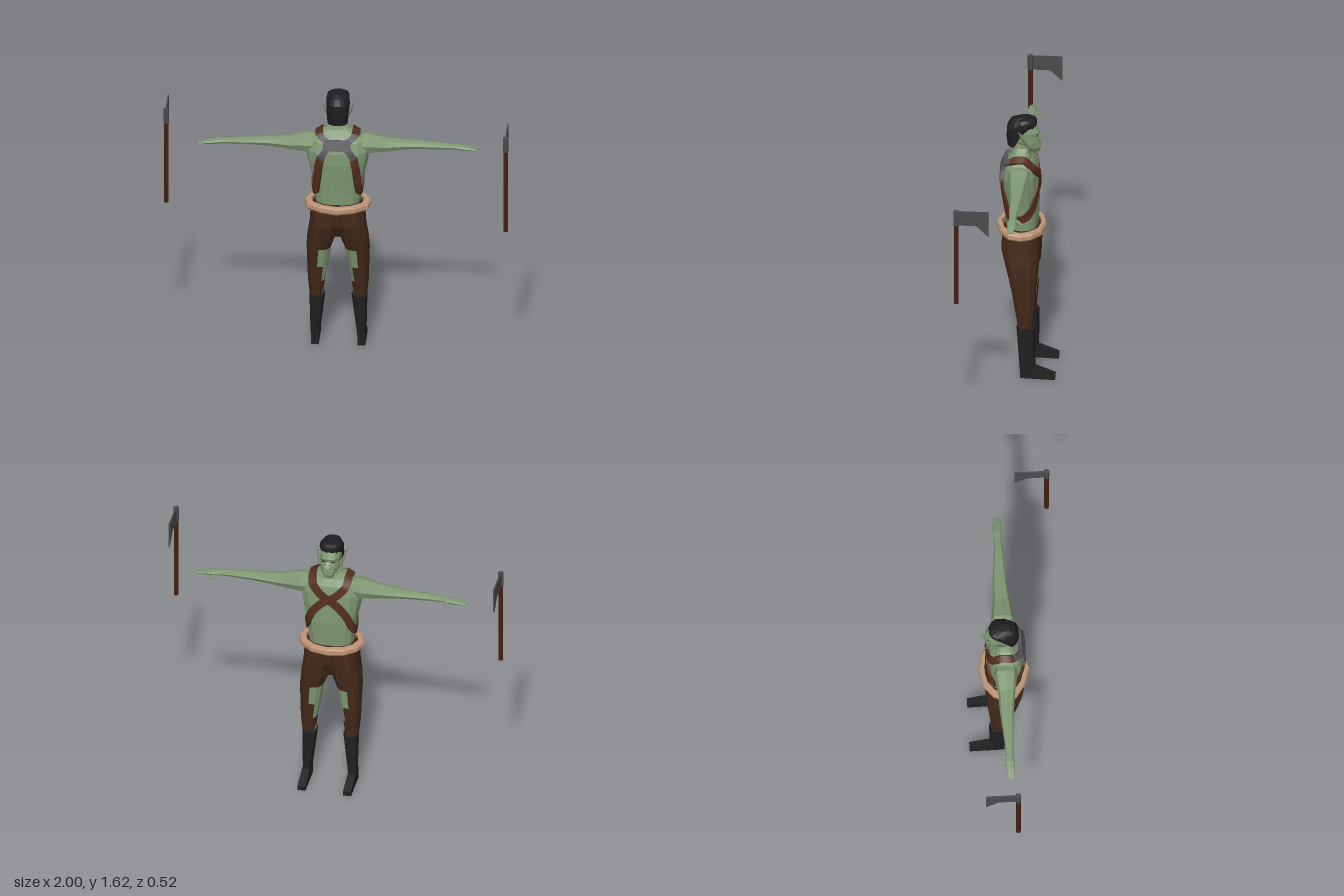
import * as THREE from 'three';

const V = (x, y, z) => new THREE.Vector3(x, y, z);
const mat = (color) => new THREE.MeshStandardMaterial({ color, flatShading: true });
const M = {
  skin: mat(0x7f9873), pants: mat(0x43281a), strap: mat(0x552e1d), boot: mat(0x202022), hair: mat(0x1e1e21),
  belt: mat(0xbd9575), plate: mat(0x57535a), metal: mat(0x4b4b4d), wood: mat(0x42210f),
};

function add(parent, name, geometry, material) {
  const m = new THREE.Mesh(geometry, material);
  m.name = name;
  parent.add(m);
  return m;
}

// Skin a list of equal-length rings; keep(row, column) can select patches
function loft(rings, { caps = true, closed = false, keep = () => true } = {}) {
  const out = [], n = rings[0].length;
  const tri = (...p) => p.forEach((v) => out.push(v.x, v.y, v.z));
  const rows = closed ? rings.length : rings.length - 1;
  for (let i = 0; i < rows; i++) for (let j = 0; j < n; j++) {
    if (!keep(i, j)) continue;
    const a = rings[i], b = rings[(i + 1) % rings.length], k = (j + 1) % n;
    tri(a[j], b[j], a[k]);
    tri(a[k], b[j], b[k]);
  }
  if (caps && !closed) [rings[0], rings[rings.length - 1]].forEach((r, end) => {
    const c = r.reduce((s, p) => s.add(p), V(0, 0, 0)).divideScalar(n);
    for (let j = 0; j < n; j++) {
      const k = (j + 1) % n;
      end ? tri(c, r[k], r[j]) : tri(c, r[j], r[k]);
    }
  });
  const g = new THREE.BufferGeometry();
  g.setAttribute('position', new THREE.Float32BufferAttribute(out, 3));
  g.computeVertexNormals();
  return g;
}

// Point on a soft-square section [y, centre x, centre z, radius x, radius z]
const soft = (t) => Math.sign(t) * Math.abs(t) ** 0.8;
const onSection = ([y, cx, cz, rx, rz], a) => V(cx + rx * soft(Math.cos(a)), y, cz + rz * soft(Math.sin(a)));
const ring = (s, n) => Array.from({ length: n }, (_, j) => onSection(s, (j / n) * Math.PI * 2));
const body = (sections, n, options) => loft(sections.map((s) => ring(s, n)), options);

// Tapered rod between two points
function rod(parent, name, a, b, r1, r2, sides, material) {
  const m = add(parent, name, new THREE.CylinderGeometry(r2, r1, a.distanceTo(b), sides), material);
  m.position.copy(a).add(b).multiplyScalar(0.5);
  m.quaternion.setFromUnitVectors(V(0, 1, 0), b.clone().sub(a).normalize());
  return m;
}

// Side profile [forward, up] extruded across x, centred on x = 0; forward is -z
function sidePlate(points, width) {
  const shape = new THREE.Shape(points.map(([x, y]) => new THREE.Vector2(x, y)));
  return new THREE.ExtrudeGeometry(shape, { depth: width, bevelEnabled: false })
    .translate(0, 0, -width / 2).rotateY(Math.PI / 2);
}

const TORSO = [
  [0.92, 0, -0.055, 0.13, 0.093], [1.0, 0, -0.055, 0.135, 0.097], [1.1, 0, -0.052, 0.15, 0.103],
  [1.2, 0, -0.045, 0.172, 0.106], [1.27, 0, -0.043, 0.183, 0.102], [1.33, 0, -0.045, 0.165, 0.088],
  [1.37, 0, -0.045, 0.125, 0.062], [1.4, 0, -0.05, 0.075, 0.05], [1.43, 0, -0.055, 0.05, 0.048],
  [1.48, 0, -0.06, 0.045, 0.045],
];

function torsoPoint(a, y) {
  let i = 0;
  while (i < TORSO.length - 2 && TORSO[i + 1][0] < y) i++;
  const t = (y - TORSO[i][0]) / (TORSO[i + 1][0] - TORSO[i][0]);
  return onSection(TORSO[i], a).lerp(onSection(TORSO[i + 1], a), t);
}

// Strap that hugs the torso through [degrees, height] points
function strap(path, width, lift) {
  const curve = new THREE.CatmullRomCurve3(path.map(([d, y]) => V(THREE.MathUtils.degToRad(d), y, 0)));
  const at = (t) => { const q = curve.getPoint(t); return torsoPoint(q.x, q.y); };
  const steps = path.length * 5, rings = [];
  for (let i = 0; i <= steps; i++) {
    const t = i / steps, q = curve.getPoint(t), p = at(t), e = 0.02;
    const dir = at(Math.min(1, t + e)).sub(at(Math.max(0, t - e))).normalize();
    const up = torsoPoint(q.x, q.y + e).sub(torsoPoint(q.x, q.y - e));
    const around = torsoPoint(q.x + 0.1, q.y).sub(torsoPoint(q.x - 0.1, q.y));
    const n = up.cross(around).normalize();
    const s = n.clone().cross(dir).normalize();
    rings.push([[lift, -1], [lift, 1], [-0.008, 1], [-0.008, -1]].map(([h, w]) =>
      p.clone().addScaledVector(n, h).addScaledVector(s, (w * width) / 2)));
  }
  return loft(rings);
}

function makeHead(g) {
  const head = new THREE.Group();
  head.name = 'head';
  g.add(head);
  add(head, 'face', body([
    [1.405, 0, -0.125, 0.024, 0.03], [1.43, 0, -0.108, 0.042, 0.055], [1.47, 0, -0.078, 0.057, 0.08],
    [1.505, 0, -0.067, 0.06, 0.083], [1.53, 0, -0.068, 0.062, 0.09], [1.57, 0, -0.06, 0.058, 0.078], [1.6, 0, -0.055, 0.04, 0.055],
  ], 12), M.skin);
  const nose = sidePlate([[0.14, 1.528], [0.14, 1.475], [0.177, 1.482]], 0.022);
  add(head, 'nose', nose, M.skin);
  add(head, 'mouth', new THREE.BoxGeometry(0.04, 0.012, 0.02).translate(0, 1.447, -0.15), M.skin);
  // Hair: low at the nape, hairline rising in front of the ears
  const cap = [[0, -0.053, 0.063, 0.083], [0.35, -0.052, 0.068, 0.088], [0.7, -0.052, 0.066, 0.085],
    [0.9, -0.052, 0.05, 0.066], [1, -0.055, 0.025, 0.035]];
  add(head, 'hair', loft(cap.map(([t, cz, rx, rz]) => ring([0, 0, cz, rx, rz], 14).map((p) => {
    const low = 1.44 + 0.12 * THREE.MathUtils.smoothstep(-p.z, 0.01, 0.08);
    p.y = THREE.MathUtils.lerp(low, 1.615, t);
    return p;
  }))), M.hair);
  for (const s of [-1, 1]) {
    const ear = rod(head, 'ear', V(s * 0.058, 1.465, -0.095), V(s * 0.096, 1.565, -0.035), 0.024, 0.001, 4, M.skin);
    ear.scale.x = 0.5;
    add(head, 'eye', new THREE.BoxGeometry(0.018, 0.007, 0.008).translate(s * 0.027, 1.512, -0.143), M.hair);
  }
}

function makeArm(side) {
  // Each section: distance along x, height, depth centre, half height, half depth
  const sections = [
    [0.1, 1.3, -0.045, 0.05, 0.06], [0.17, 1.303, -0.05, 0.06, 0.066], [0.22, 1.3, -0.05, 0.05, 0.06],
    [0.28, 1.295, -0.05, 0.039, 0.05], [0.4, 1.298, -0.055, 0.026, 0.04], [0.48, 1.297, -0.054, 0.022, 0.034],
    [0.6, 1.293, -0.052, 0.018, 0.025], [0.66, 1.29, -0.053, 0.014, 0.021], [0.7, 1.288, -0.053, 0.015, 0.027],
    [0.75, 1.282, -0.052, 0.01, 0.024], [0.8, 1.273, -0.05, 0.004, 0.018],
  ].map(([x, y, z, ry, rz]) => [x, -y, z, ry, rz]);
  const arm = new THREE.Group();
  arm.name = side > 0 ? 'leftArm' : 'rightArm';
  add(arm, 'armAndHand', body(sections, 8).rotateZ(-Math.PI / 2), M.skin);
  rod(arm, 'thumbBase', V(0.66, 1.287, -0.055), V(0.688, 1.283, -0.095), 0.014, 0.01, 5, M.skin);
  rod(arm, 'thumbTip', V(0.685, 1.283, -0.092), V(0.71, 1.278, -0.117), 0.01, 0.004, 5, M.skin);
  arm.scale.x = side;
  return arm;
}

function makeLeg(side) {
  const leg = new THREE.Group();
  leg.name = side > 0 ? 'leftLeg' : 'rightLeg';
  const sections = [
    [0.3, 0.125, -0.083, 0.038, 0.043], [0.36, 0.126, -0.082, 0.043, 0.047], [0.42, 0.125, -0.079, 0.05, 0.056],
    [0.52, 0.118, -0.075, 0.06, 0.068], [0.64, 0.11, -0.066, 0.072, 0.085], [0.72, 0.092, -0.059, 0.084, 0.1],
    [0.8, 0.083, -0.052, 0.08, 0.111], [0.92, 0.075, -0.053, 0.08, 0.108],
  ];
  // Torn inner knee: skin shows on a patch that narrows downward
  const torn = (i, j) => Math.abs(j - 5.5) < ({ 0: 1, 2: 2, 3: 3 }[i] ?? 0);
  add(leg, 'trouserLeg', body(sections, 12, { keep: (i, j) => !torn(i, j) }), M.pants);
  add(leg, 'bareKnee', body(sections, 12, { caps: false, keep: torn }), M.skin);
  add(leg, 'bootShaft', body([
    [0.005, 0.134, -0.094, 0.022, 0.04], [0.08, 0.133, -0.095, 0.028, 0.046], [0.325, 0.121, -0.087, 0.046, 0.056],
  ], 8), M.boot);
  add(leg, 'bootFoot', sidePlate([[0.055, 0.005], [0.255, 0], [0.257, 0.03], [0.14, 0.075], [0.055, 0.08]], 0.046)
    .translate(0.134, 0, 0), M.boot);
  leg.scale.x = side;
  return leg;
}

function makeAxe(x, z) {
  const axe = new THREE.Group();
  axe.name = 'axe';
  add(axe, 'axeHandle', new THREE.CylinderGeometry(0.014, 0.014, 0.505, 8).translate(0, 1.1575, 0), M.wood);
  add(axe, 'axeSocket', new THREE.CylinderGeometry(0.016, 0.016, 0.09, 8).translate(0, 1.455, 0), M.metal);
  add(axe, 'axeBlade', sidePlate([[0, 1.41], [0.115, 1.408], [0.185, 1.342], [0.185, 1.498], [0, 1.498]], 0.008), M.metal);
  axe.position.set(x, 0, z);
  return axe;
}

export function createModel() {
  const g = new THREE.Group();
  g.name = 'warrior';
  add(g, 'torso', body(TORSO, 14), M.skin);
  makeHead(g);
  add(g, 'hips', body([
    [0.72, 0, -0.06, 0.025, 0.06], [0.8, 0, -0.053, 0.12, 0.098], [0.9, 0, -0.053, 0.15, 0.108], [0.94, 0, -0.055, 0.14, 0.1],
  ], 12), M.pants);

  // Belt: angular outline swept through a bevelled section
  const half = [[0, 0.095], [0.1, 0.066], [0.175, 0.012], [0.192, -0.06], [0.165, -0.122], [0.1, -0.175], [0, -0.197]];
  const outline = [...half, ...half.slice(1, -1).reverse().map(([x, z]) => [-x, z])].reverse();
  const section = [[0.8, 0.897], [0.95, 0.897], [1, 0.908], [1, 0.93], [0.95, 0.942], [0.8, 0.942]];
  add(g, 'belt', loft(section.map(([s, y]) => outline.map(([x, z]) => V(x * s, y, -0.05 + (z + 0.05) * s))), { closed: true }), M.belt);

  for (const s of [-1, 1]) {
    g.add(makeArm(s), makeLeg(s));
    // Straps cross the chest and meet a plate between the shoulder blades
    const mirror = (path) => path.map(([d, y]) => [s > 0 ? d : 180 - d, y]);
    add(g, 'chestStrap', strap(mirror([[64, 1.25], [48, 1.12], [33, 1.03], [5, 1.015], [-28, 1.06], [-60, 1.16],
      [-90, 1.25], [-122, 1.335], [-145, 1.372], [-180, 1.382], [-220, 1.372]]), 0.045, s > 0 ? 0.009 : 0.012), M.strap);
    add(g, 'plateUpperArm', strap(mirror([[42, 1.37], [62, 1.35], [90, 1.325]]), 0.036, 0.015), M.plate);
    add(g, 'plateLowerArm', strap(mirror([[90, 1.32], [76, 1.3], [64, 1.24]]), 0.036, 0.015), M.plate);
  }
  add(g, 'backPlate', strap([[68, 1.322], [90, 1.322], [112, 1.322]], 0.065, 0.017), M.plate);

  g.add(makeAxe(-0.986, -0.02), makeAxe(0.983, 0.245));
  return g;
}
